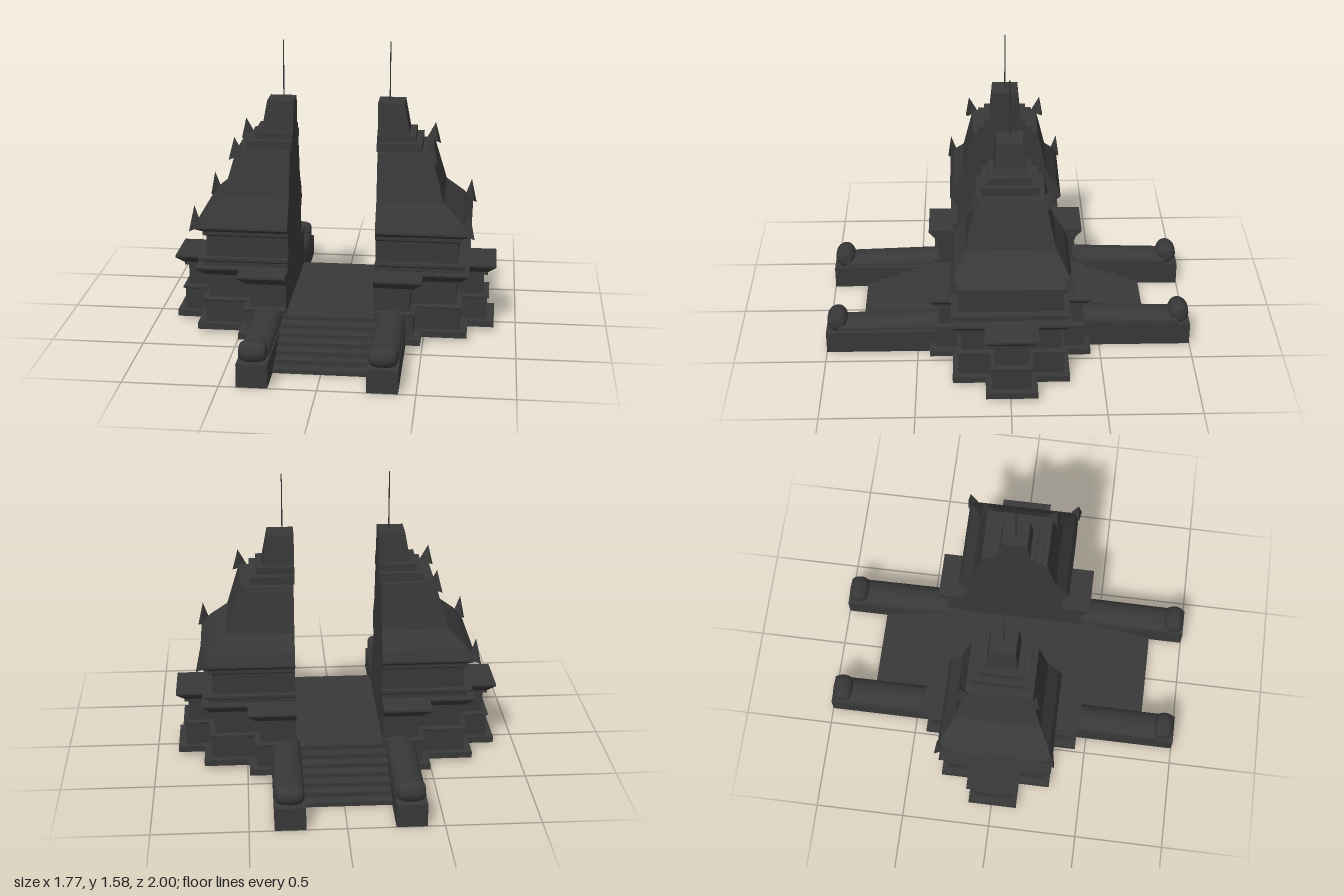
import * as THREE from 'three';
import { ConvexGeometry } from 'three/addons/geometries/ConvexGeometry.js';

const stone = new THREE.MeshStandardMaterial({ color: 0x383838 });
stone.name = 'dark stone';

function add(parent, name, geometry, x = 0, y = 0, z = 0) {
  const mesh = new THREE.Mesh(geometry, stone);
  mesh.name = name;
  mesh.position.set(x, y, z);
  parent.add(mesh);
  return mesh;
}

function box(parent, name, x0, x1, y0, y1, z0, z1) {
  return add(parent, name, new THREE.BoxGeometry(x1 - x0, y1 - y0, z1 - z0),
    (x0 + x1) / 2, (y0 + y1) / 2, (z0 + z1) / 2);
}

// Stacked rectangular rings; each ring is [y, outer x, half depth, inner x]
function stack(rings) {
  const pos = [];
  const corners = rings.map(([y, xo, h, xi]) =>
    [[xi, y, h], [xo, y, h], [xo, y, -h], [xi, y, -h]]);
  const quad = (a, b, c, d) => pos.push(...a, ...b, ...c, ...a, ...c, ...d);
  for (let r = 0; r + 1 < corners.length; r++) {
    const lo = corners[r], hi = corners[r + 1];
    for (let i = 0; i < 4; i++) {
      const j = (i + 1) % 4;
      quad(lo[i], lo[j], hi[j], hi[i]);
    }
  }
  const b = corners[0];
  quad(b[3], b[2], b[1], b[0]);
  quad(...corners[corners.length - 1]);
  const g = new THREE.BufferGeometry();
  g.setAttribute('position', new THREE.Float32BufferAttribute(pos, 3));
  g.computeVertexNormals();
  return g;
}

// Base moulding: [y, overhang] from plinth to flared cornice
const moulding = [[0.02, 0.04], [0.055, 0.04], [0.055, 0], [0.175, 0], [0.18, 0.01],
  [0.19, 0.01], [0.195, -0.02], [0.31, -0.02], [0.315, 0], [0.33, 0], [0.37, 0.045], [0.38, 0.045]];

// Upper tower: [y, outer x, half depth]
const body = [[0.38, 0.67, 0.27], [0.39, 0.70, 0.295], [0.41, 0.70, 0.295], [0.42, 0.725, 0.31],
  [0.435, 0.725, 0.31], [0.435, 0.68, 0.275], [0.55, 0.68, 0.275], [0.56, 0.70, 0.29],
  [0.58, 0.70, 0.29], [0.6, 0.745, 0.315], [0.61, 0.745, 0.315]];
const roof = [[0.61, 0.745, 0.315], [0.67, 0.695, 0.295], [0.76, 0.595, 0.235], [1.01, 0.525, 0.18]];
const crown = [[1.01, 0.47, 0.15], [1.055, 0.47, 0.15], [1.055, 0.435, 0.115], [1.095, 0.435, 0.115],
  [1.095, 0.40, 0.085], [1.26, 0.37, 0.07]];

// Pointed corner ornament leaning outward
function horn(parent, name, x, y, z, w, h) {
  const s = Math.sign(z);
  add(parent, name, new ConvexGeometry([
    new THREE.Vector3(0.03, 0, s * 0.02),
    new THREE.Vector3(-w, 0.03, s * 0.01),
    new THREE.Vector3(0.01, 0.03, -s * w),
    new THREE.Vector3(0, h, 0),
  ]), x, y, z);
}

function tower() {
  const g = new THREE.Group();
  const base = (name, xo, h) => add(g, name,
    stack(moulding.map(([y, o]) => [y, xo + o, h + o * 0.8, 0.235])));
  base('mainBase', 0.695, 0.28);
  base('sideBase', 0.84, 0.105);
  base('frontBackBase', 0.45, 0.405);
  const inner = (rings, xi) => stack(rings.map((r) => [...r, xi]));
  add(g, 'towerBody', inner(body, 0.235));
  add(g, 'towerRoof', inner(roof, 0.235));
  add(g, 'towerCrown', inner(crown, 0.228));
  add(g, 'spire', new THREE.CylinderGeometry(0.003, 0.004, 0.32, 6), 0.288, 1.42, 0);
  for (const s of [1, -1]) {
    horn(g, 'eaveHorn', 0.735, 0.59, s * 0.31, 0.04, 0.145);
    horn(g, 'upperHorn', 0.53, 0.965, s * 0.2, 0.05, 0.125);
  }
  return g;
}

// Stair wall with a rounded sloping coping that ends in a scroll; runs along +z
function balustrade() {
  const g = new THREE.Group();
  box(g, 'balustradeWall', -0.08, 0.08, 0, 0.125, 0.3, 1);

  const shape = new THREE.Shape();
  shape.moveTo(0.078, 0);
  shape.absellipse(0, 0.02, 0.078, 0.062, 0, Math.PI, false);
  shape.lineTo(-0.078, 0);
  const coping = new THREE.ExtrudeGeometry(shape, { depth: 0.6, bevelEnabled: false, curveSegments: 10 });
  const p = coping.attributes.position;
  for (let i = 0; i < p.count; i++) p.setY(i, p.getY(i) * (1 - 0.5 * p.getZ(i)));
  coping.computeVertexNormals();
  add(g, 'coping', coping, 0, 0.125, 0.33);

  const profile = [[0, -0.07], [0.03, -0.07], [0.045, -0.062], [0.055, -0.035], [0.057, 0],
    [0.055, 0.035], [0.045, 0.062], [0.03, 0.07], [0, 0.07]];
  const scroll = new THREE.LatheGeometry(profile.map(([r, h]) => new THREE.Vector2(r, h)), 16);
  scroll.rotateZ(Math.PI / 2);
  add(g, 'scroll', scroll, 0, 0.175, 0.938);
  return g;
}

export function createModel() {
  const model = new THREE.Group();
  model.name = 'splitGate';

  // Twin towers
  for (const side of [1, -1]) {
    const t = tower();
    t.name = side > 0 ? 'leftTower' : 'rightTower';
    t.rotation.y = side > 0 ? 0 : Math.PI;
    t.position.z = -0.006 * side;
    model.add(t);
  }

  // Walkway and the two flights of steps
  const top = 0.165, count = 7;
  box(model, 'walkway', -0.245, 0.245, 0, top, -0.4, 0.43);
  for (let i = 0; i < count - 1; i++) {
    const y0 = (top / count) * i, y1 = (top / count) * (i + 1);
    box(model, 'frontStep', -0.255, 0.255, y0, y1, 0.35, 0.81 - i * 0.063);
    box(model, 'backStep', -0.255, 0.215, y0, y1, -0.77 + i * 0.062, -0.35);
  }

  // Balustrades beside each flight
  for (const [x, back] of [[0.33, false], [-0.33, false], [0.29, true], [-0.33, true]]) {
    const b = balustrade();
    b.name = back ? 'backBalustrade' : 'frontBalustrade';
    b.position.x = x;
    b.rotation.y = back ? Math.PI : 0;
    model.add(b);
  }
  return model;
}
